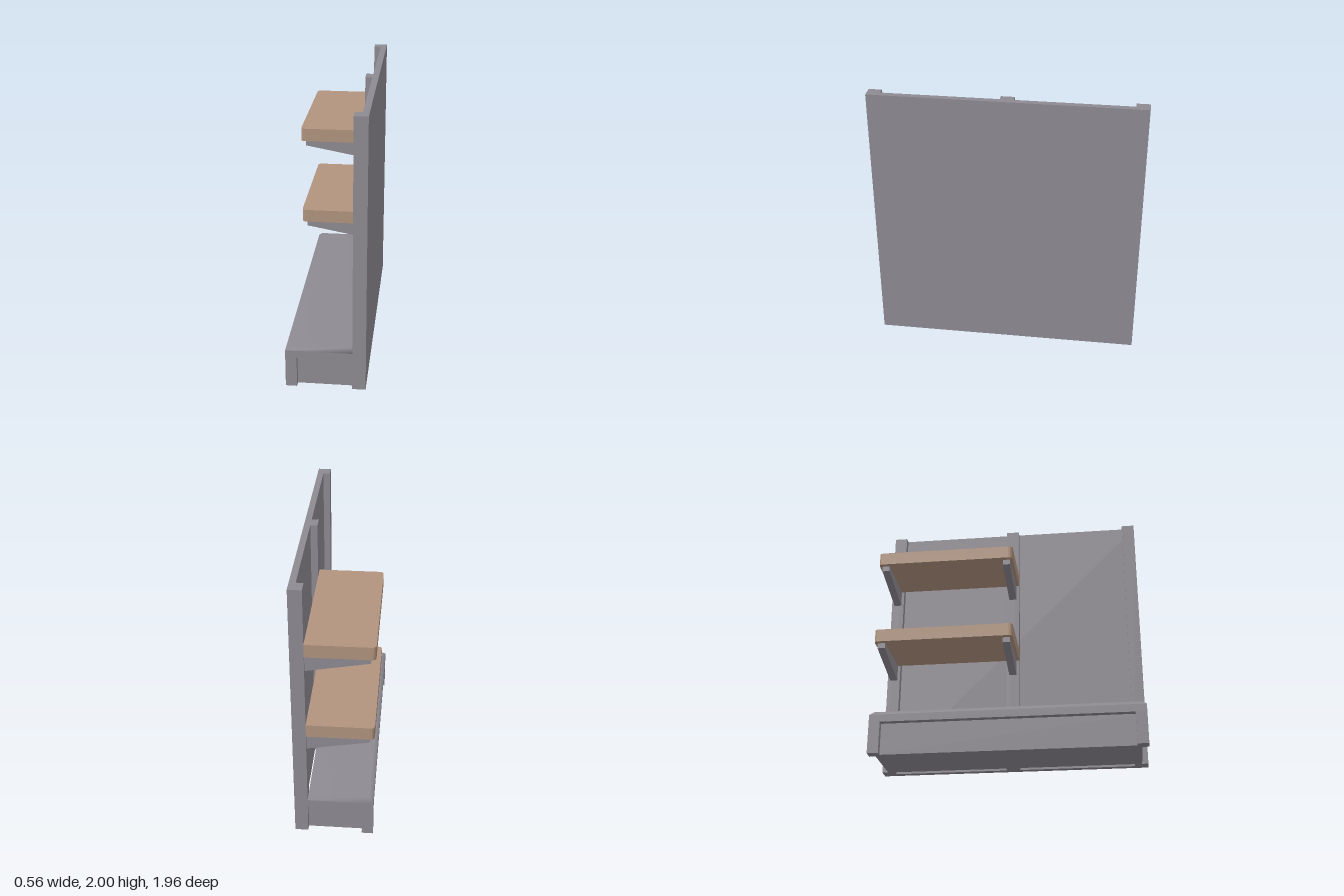
import * as THREE from 'three';

const metal = new THREE.MeshStandardMaterial({ color: 0x8e8a92 });
metal.name = 'grey metal';
const wood = new THREE.MeshStandardMaterial({ color: 0xb1947e });
wood.name = 'light wood';

const FRONT = -0.285, BACK = 0.185, END = 0.98;

function add(group, name, geometry, material) {
  const mesh = new THREE.Mesh(geometry, material);
  mesh.name = name;
  group.add(mesh);
  return mesh;
}

// Box given by its limits on each axis
function box(x0, x1, y0, y1, z0, z1) {
  return new THREE.BoxGeometry(x1 - x0, y1 - y0, z1 - z0)
    .translate((x0 + x1) / 2, (y0 + y1) / 2, (z0 + z1) / 2);
}

// Board with two rounded front corners
function shelfGeometry(z0, z1, thickness) {
  const r = 0.032, s = new THREE.Shape();
  s.moveTo(BACK, -z1);
  s.lineTo(BACK, -z0);
  s.lineTo(FRONT + r, -z0);
  s.quadraticCurveTo(FRONT, -z0, FRONT, -z0 - r);
  s.lineTo(FRONT, -z1 + r);
  s.quadraticCurveTo(FRONT, -z1, FRONT + r, -z1);
  s.closePath();
  return new THREE.ExtrudeGeometry(s, { depth: thickness, bevelEnabled: false, curveSegments: 4 })
    .rotateX(-Math.PI / 2);
}

// Tapered support, deeper at the wall
function bracketGeometry(width) {
  const s = new THREE.Shape();
  s.moveTo(-0.25, 0);
  s.lineTo(-0.25, -0.04);
  s.lineTo(BACK, -0.12);
  s.lineTo(BACK, 0);
  s.closePath();
  return new THREE.ExtrudeGeometry(s, { depth: width, bevelEnabled: false })
    .translate(0, 0, -width / 2);
}

// Top sheet with softly shaded sloping edges
function deckGeometry(y0, y1, b) {
  const g = new THREE.BufferGeometry();
  g.setAttribute('position', new THREE.Float32BufferAttribute([
    FRONT, y0, END, BACK, y0, END, BACK, y0, -END, FRONT, y0, -END,
    FRONT + b, y1, END - b, BACK - 0.005, y1, END - b,
    BACK - 0.005, y1, -END + b, FRONT + b, y1, -END + b], 3));
  const index = [4, 5, 6, 4, 6, 7];
  for (let i = 0; i < 4; i++) {
    const j = (i + 1) % 4;
    index.push(i, j, j + 4, i, j + 4, i + 4);
  }
  g.setIndex(index);
  g.computeVertexNormals();
  return g;
}

export function createModel() {
  const model = new THREE.Group();
  model.name = 'shelvingUnit';

  // Back wall with three uprights
  const wall = new THREE.Group();
  wall.name = 'wall';
  model.add(wall);
  add(wall, 'backPanel', box(0.235, 0.28, 0, 2, -END, END), metal);
  for (const [z0, z1] of [[-END, -0.885], [-0.052, 0.046], [0.885, END]])
    add(wall, 'upright', box(BACK, 0.236, 0, 2, z0, z1), metal);

  // Plinth: recessed core, corner legs, rim and deck
  const base = new THREE.Group();
  base.name = 'base';
  model.add(base);
  add(base, 'baseCore', box(-0.24, BACK, 0, 0.23, -0.935, 0.935), metal);
  add(base, 'baseRim', box(FRONT, BACK, 0.23, 0.285, -END, END), metal);
  add(base, 'baseDeck', deckGeometry(0.285, 0.315, 0.03), metal);
  for (const side of [-1, 1]) {
    const z = [side * END, side * 0.9].sort((a, b) => a - b);
    add(base, 'cornerLeg', box(FRONT, -0.205, 0, 0.23, z[0], z[1]), metal);
  }

  // Shelves over one bay, each on two brackets
  for (const y of [0.858, 1.504]) {
    const shelf = new THREE.Group();
    shelf.name = 'shelf';
    shelf.position.y = y;
    model.add(shelf);
    add(shelf, 'shelfBoard', shelfGeometry(-END, 0.046, 0.096), wood);
    for (const z of [-0.932, -0.003])
      add(shelf, 'bracket', bracketGeometry(0.055), metal).position.z = z;
  }
  return model;
}
